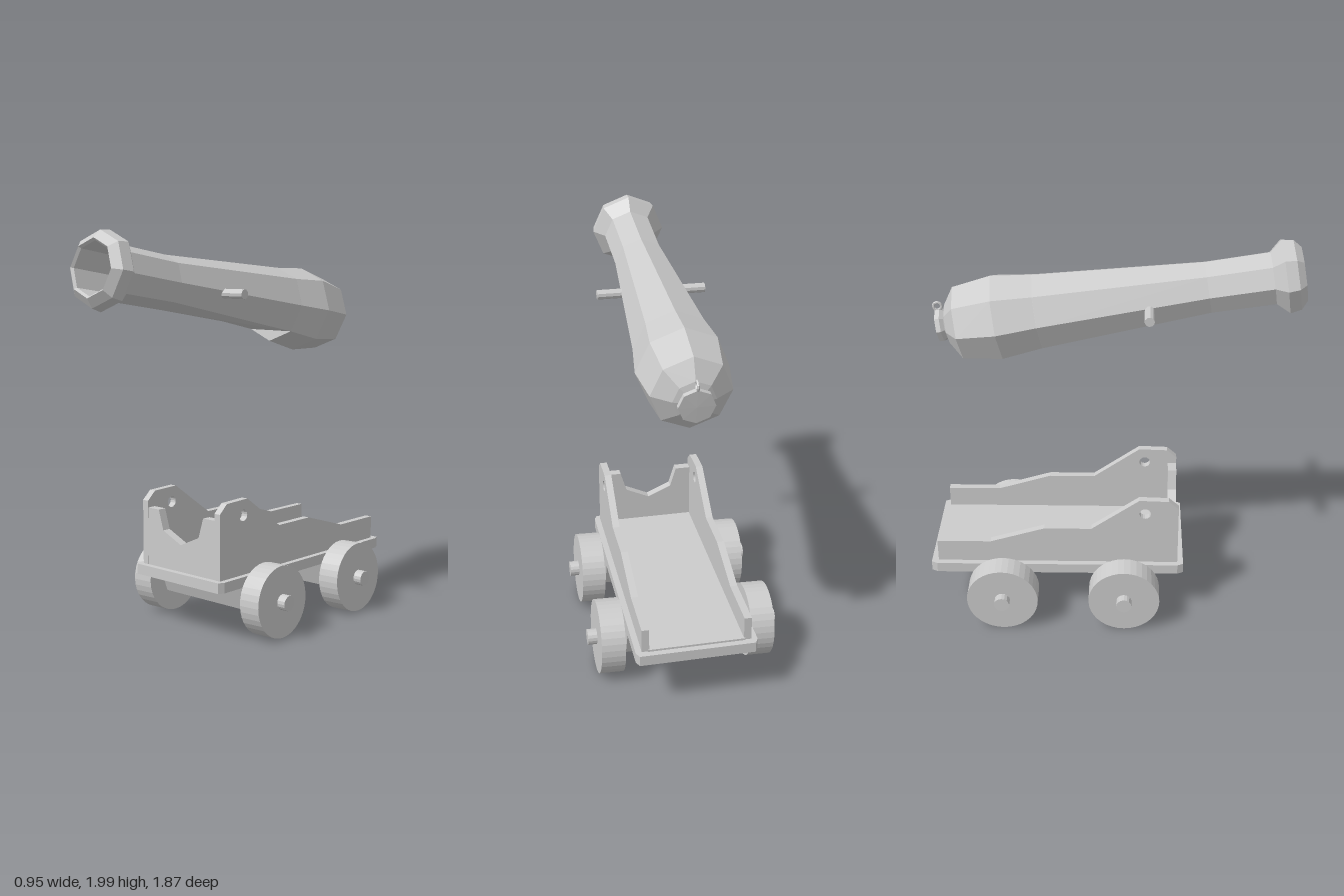
import * as THREE from 'three';

const mat = new THREE.MeshStandardMaterial({ color: 0xcccccc, flatShading: true });

function add(parent, name, geo, x = 0, y = 0, z = 0) {
  const m = new THREE.Mesh(geo, mat);
  m.name = name;
  m.position.set(x, y, z);
  parent.add(m);
  return m;
}

const shapeOf = (pts) => new THREE.Shape(pts.map(([a, b]) => new THREE.Vector2(a, b)));
const extrude = (shape, depth) =>
  new THREE.ExtrudeGeometry(shape, { depth, bevelEnabled: false, curveSegments: 8 });
// Profile drawn in (z, y), extruded along x and centred on x = 0
const sideExtrude = (shape, width) =>
  extrude(shape, width).translate(0, 0, -width / 2).rotateY(-Math.PI / 2);
const rodX = (r, len, seg) => new THREE.CylinderGeometry(r, r, len, seg).rotateZ(Math.PI / 2);

function createBarrel() {
  const g = new THREE.Group();
  g.name = 'barrel';

  // Octagonal profile: [radius, distance behind the muzzle], bore first
  const profile = [
    [0, 1.3], [0.11, 1.3], [0.126, 0.012], [0.137, 0], [0.178, 0.035], [0.188, 0.09],
    [0.133, 0.147], [0.131, 0.457], [0.192, 1.284], [0.192, 1.285], [0.218, 1.482],
    [0.188, 1.675], [0.1, 1.735], [0.07, 1.745], [0.085, 1.762], [0.085, 1.785], [0, 1.787],
  ];
  const body = new THREE.LatheGeometry(profile.map(([r, t]) => new THREE.Vector2(r, t)), 8);
  // Flatten the underside in front of the breech, leaving a step
  const p = body.attributes.position;
  p.setZ(4 * profile.length + 8, -0.192 * Math.SQRT1_2);
  body.rotateX(-Math.PI / 2);
  add(g, 'barrelBody', body);

  // Trunnions
  for (const s of [-1, 1]) add(g, 'trunnion', rodX(0.024, 0.15, 10), s * 0.197, -0.012, -0.745);

  // Small ring on the breech knob
  const ring = new THREE.TorusGeometry(0.02, 0.007, 6, 12).rotateY(Math.PI / 2);
  add(g, 'breechRing', ring, 0, 0.1, -1.768);

  g.position.set(0, 1.825, 0.915);
  g.rotation.x = -0.161;
  return g;
}

function createCarriage() {
  const g = new THREE.Group();
  g.name = 'carriage';

  // Base plate with clipped corners
  const c = 0.015, w = 0.295, f = 0.375, b = 0.93;
  const plate = shapeOf([
    [-w, -f + 0.03], [-w + c, -f], [w - c, -f], [w, -f + 0.03],
    [w, b - 0.03], [w - c, b], [-w + c, b], [-w, b - 0.03],
  ]);
  add(g, 'basePlate', extrude(plate, 0.053).rotateX(-Math.PI / 2), 0, 0.262, 0);
  add(g, 'floor', new THREE.BoxGeometry(0.47, 0.012, 1.22), 0, 0.319, -0.29);

  // Stepped cheeks with a trunnion hole
  const cheek = shapeOf([
    [0.345, 0.31], [0.345, 0.645], [0.295, 0.69], [0.145, 0.695], [-0.1, 0.52],
    [-0.34, 0.52], [-0.62, 0.435], [-0.895, 0.435], [-0.895, 0.31],
  ]);
  cheek.holes.push(new THREE.Path().absarc(0.175, 0.615, 0.029, 0, Math.PI * 2, true));
  for (const s of [-1, 1]) add(g, 'cheek', sideExtrude(cheek, 0.036), s * 0.247);

  // Front board with a cradle cut-out
  const half = [[0.23, 0.31], [0.23, 0.61], [0.153, 0.61], [0.122, 0.508]];
  const mirrored = half.map(([x, y]) => [-x, y]).reverse();
  add(g, 'frontBoard', extrude(shapeOf([...half, [0, 0.452], ...mirrored]), 0.045), 0, 0, 0.299);

  // Axle beams, axles and wheels
  const beam = shapeOf([[-0.13, 0.265], [-0.075, 0.125], [0.075, 0.125], [0.13, 0.265]]);
  for (const z of [0.07, -0.555]) {
    add(g, 'axleBeam', sideExtrude(beam, 0.59), 0, 0, z);
    add(g, 'axle', rodX(0.039, 0.95, 16), 0, 0.187, z);
    for (const s of [-1, 1]) {
      const wheel = add(g, 'wheel', rodX(0.182, 0.118, 36), s * 0.371, 0.185, z);
      wheel.rotation.z = 0.03;
    }
  }
  g.position.x = -0.005;
  return g;
}

export function createModel() {
  const model = new THREE.Group();
  model.name = 'cannon';
  model.add(createBarrel(), createCarriage());
  return model;
}
